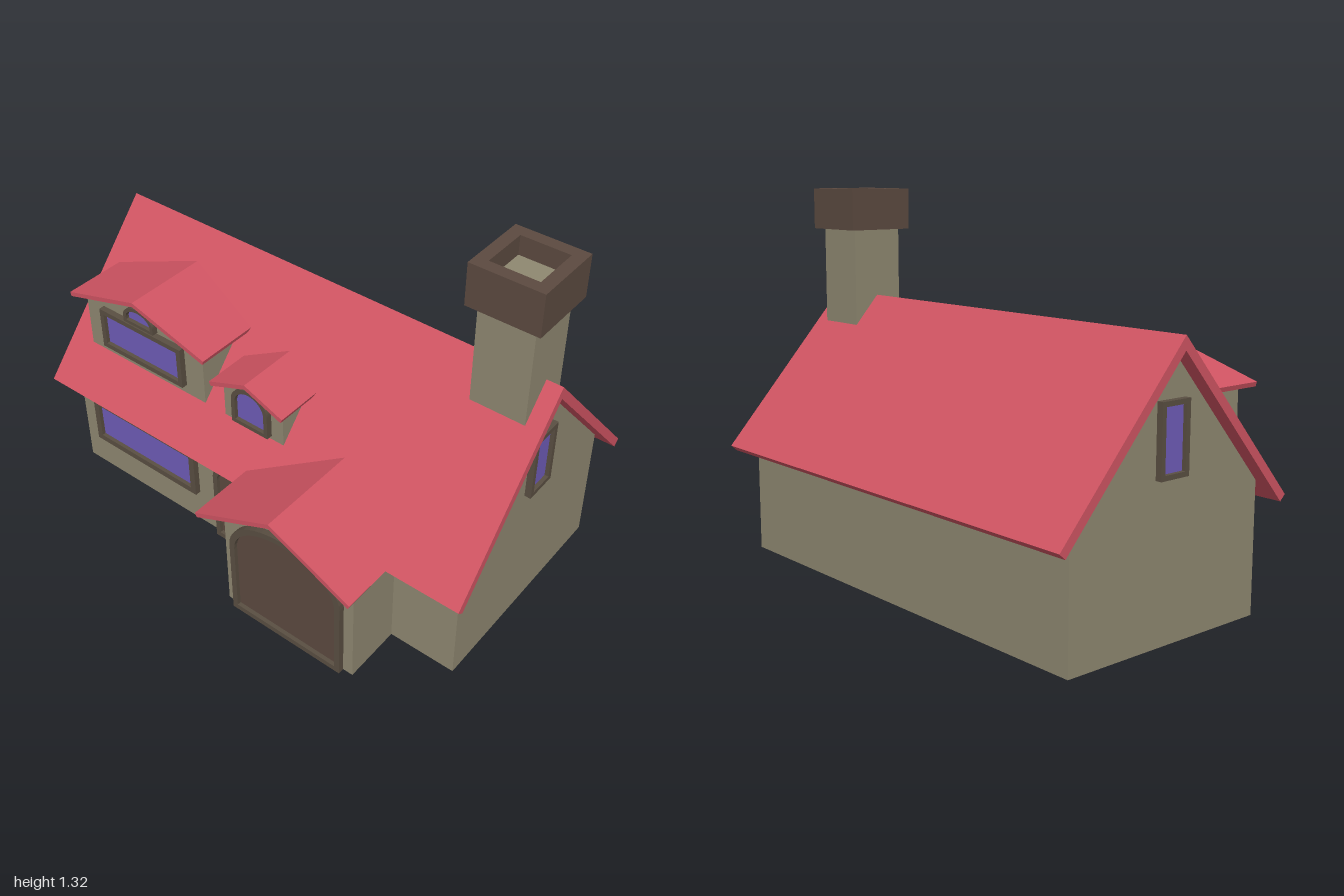
import * as THREE from 'three';

const mat = (color) => new THREE.MeshStandardMaterial({ color, flatShading: true });
const WALL = mat(0x8f8871), ROOF = mat(0xd05462), WOOD = mat(0x5c4a40), TRIM = mat(0x5a4f42), GLASS = mat(0x6f5cb8);

// Extrude an outline from z0 to z1
function extrude(name, shape, z0, z1, material) {
  const geo = new THREE.ExtrudeGeometry(shape, { depth: z1 - z0, bevelEnabled: false, curveSegments: 12 });
  geo.translate(0, 0, z0);
  const mesh = new THREE.Mesh(geo, material);
  mesh.name = name;
  return mesh;
}

const polygon = (pts) => new THREE.Shape(pts.map(([x, y]) => new THREE.Vector2(x, y)));

// Two roof slabs meeting at a ridge
function roof(name, half, ridge, slope, thick, z0, z1) {
  const len = Math.hypot(1, slope), eave = ridge - slope * half;
  const dx = (thick * slope) / len, dy = thick / len;
  return extrude(name, polygon([
    [0, ridge], [-half, eave], [-half + dx, eave - dy], [0, ridge - thick * len],
    [half - dx, eave - dy], [half, eave],
  ]), z0, z1, ROOF);
}

// Wall block with a gabled top
function gableWalls(name, half, base, apex, slope, z0, z1) {
  const eave = apex - slope * half;
  return extrude(name, polygon([[-half, base], [half, base], [half, eave], [0, apex], [-half, eave]]), z0, z1, WALL);
}

// Rectangle with an optional elliptical top
function opening(half, y0, y1, arch) {
  const s = new THREE.Shape();
  s.moveTo(-half, y0);
  s.lineTo(half, y0);
  s.lineTo(half, y1 - arch);
  if (arch > 0) s.absellipse(0, y1 - arch, half, arch, 0, Math.PI, false, 0);
  else s.lineTo(-half, y1);
  s.closePath();
  return s;
}

// Frame with a recessed pane or door leaf; bottom = height of the lower bar
function framed(name, x, z, half, y0, y1, bar, arch = 0, fill = GLASS, bottom = bar) {
  const g = new THREE.Group();
  g.name = name;
  const inner = () => opening(half - bar, y0 + bottom, y1 - bar, Math.max(0, arch - bar * 0.5));
  const outer = opening(half, y0, y1, arch);
  outer.holes.push(inner());
  g.add(extrude('frame', outer, -0.01, 0.022, TRIM));
  g.add(extrude('panel', inner(), -0.01, 0.008, fill));
  g.position.set(x, 0, z);
  return g;
}

export function createModel() {
  const model = new THREE.Group();
  model.name = 'cottage';
  const house = new THREE.Group();
  house.name = 'house';
  house.rotation.y = 0.459;
  model.add(house);

  // Main body and roof
  const SLOPE = 1.117, RIDGE = 0.935;
  house.add(gableWalls('mainWalls', 0.402, 0, 0.892, SLOPE, -0.823, 0.823));
  house.add(roof('mainRoof', 0.487, RIDGE, SLOPE, 0.03, -0.873, 0.873));

  // A window in each gable
  for (const turn of [0, Math.PI]) {
    const end = new THREE.Group();
    end.name = 'gableEnd';
    end.rotation.y = turn;
    end.add(framed('gableWindow', 0, 0.823, 0.06, 0.512, 0.745, 0.016));
    house.add(end);
  }

  // Chimney on the ridge, with a hollow cap
  const chimney = new THREE.Group();
  chimney.name = 'chimney';
  chimney.position.set(-0.003, 0, 0.718);
  const shaft = new THREE.Mesh(new THREE.BoxGeometry(0.194, 0.555, 0.194), WALL);
  shaft.name = 'shaft';
  shaft.position.y = 0.9775;
  const ring = opening(0.125, -0.125, 0.125, 0);
  ring.holes.push(opening(0.083, -0.083, 0.083, 0));
  const cap = extrude('cap', ring, 0, 0.147, WOOD);
  cap.rotation.x = -Math.PI / 2;
  cap.position.y = 1.175;
  chimney.add(shaft, cap);
  house.add(chimney);

  // Entrance side: x runs along the wall, z points outward
  const side = new THREE.Group();
  side.name = 'entranceSide';
  side.rotation.y = -Math.PI / 2;
  house.add(side);

  // Porch and dormers: gabled blocks running into the main roof
  const gabled = [
    { name: 'porch', x: 0.323, half: 0.306, ridge: 0.575, slope: 0.465, wall: 0.26, base: 0, front: 0.611, out: 0.693, back: 0.3 },
    { name: 'largeDormer', x: -0.505, half: 0.311, ridge: 0.842, slope: 0.295, wall: 0.27, base: 0.5, front: 0.362, out: 0.4, back: 0.07 },
    { name: 'smallDormer', x: -0.02, half: 0.154, ridge: 0.741, slope: 0.4, wall: 0.125, base: 0.5, front: 0.362, out: 0.4, back: 0.16 },
  ];
  for (const p of gabled) {
    const g = new THREE.Group();
    g.name = p.name;
    g.position.x = p.x;
    const apex = p.ridge - 0.015;
    g.add(gableWalls('walls', p.wall, p.base, apex, p.slope, p.back + 0.01, p.front));
    g.add(roof('roof', p.half, p.ridge, p.slope, 0.016, p.back, p.out));
    side.add(g);
  }

  // Doors and windows along this side
  side.add(framed('frontDoor', 0.323, 0.611, 0.223, 0, 0.448, 0.02, 0.15, WOOD, 0.02));
  side.add(framed('sideDoor', -0.055, 0.402, 0.11, 0, 0.36, 0.018, 0.08, WOOD, 0.02));
  side.add(framed('groundWindow', -0.5, 0.402, 0.245, 0.137, 0.325, 0.023));
  side.add(framed('largeDormerWindow', -0.505, 0.362, 0.188, 0.567, 0.725, 0.018));
  side.add(framed('largeDormerVent', -0.505, 0.362, 0.068, 0.73, 0.802, 0.012, 0.045));
  side.add(framed('smallDormerWindow', -0.02, 0.362, 0.076, 0.545, 0.702, 0.015, 0.065));
  return model;
}
